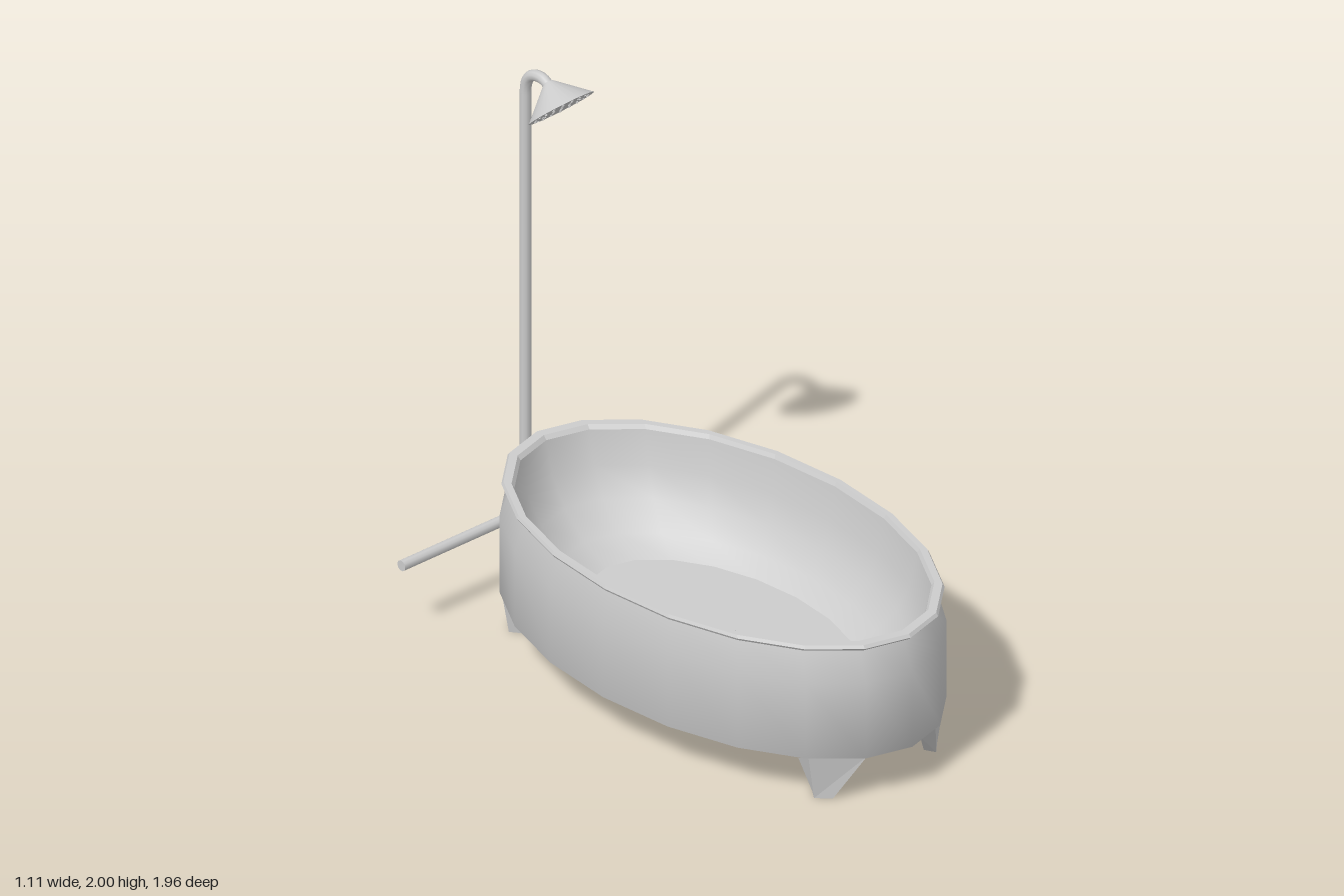
import * as THREE from 'three';

const CX = 0.005, CZ = 0.03;      // centre of the tub
const STRETCH = 0.95 / 0.545;     // length of the oval against its width

export function createModel() {
  const group = new THREE.Group();
  const mat = new THREE.MeshStandardMaterial({ color: 0xcccccc });
  const flat = new THREE.MeshStandardMaterial({ color: 0xcccccc, flatShading: true, side: THREE.DoubleSide });

  const add = (name, geometry, material = mat, parent = group) => {
    const mesh = new THREE.Mesh(geometry, material);
    mesh.name = name;
    parent.add(mesh);
    return mesh;
  };

  // Oval tub: 20-sided lathes stretched along z, profiles are [radius, y]
  const tub = new THREE.Group();
  tub.name = 'tub';
  tub.position.set(CX, 0, CZ);
  tub.scale.z = STRETCH;
  group.add(tub);
  const oval = (name, profile, material = mat) =>
    add(name, new THREE.LatheGeometry(profile.map(p => new THREE.Vector2(...p)), 20), material, tub);

  oval('underside', [[0, 0.10], [0.25, 0.103], [0.465, 0.115]]);
  oval('outerWall', [[0.465, 0.115], [0.545, 0.17], [0.545, 0.46], [0.518, 0.58]]);
  oval('rim', [[0.518, 0.58], [0.535, 0.58], [0.54, 0.589], [0.535, 0.6], [0.515, 0.6], [0.508, 0.585]], flat);
  oval('innerWall', [[0.508, 0.585], [0.49, 0.46], [0.455, 0.36], [0.40, 0.27], [0.335, 0.22]]);
  oval('floor', [[0.335, 0.22], [0, 0.22]]);

  // Drain in the floor
  add('drain', new THREE.CylinderGeometry(0.042, 0.042, 0.008, 24)).position.set(CX, 0.222, CZ);

  // Tapered feet: a wide top hugging the tub, a small pad on the ground
  const top = [[0.31, 0.17, 0.77], [0.155, 0.17, 0.895], [0.135, 0.11, 0.84], [0.265, 0.11, 0.67]];
  const pad = [[0.28, 0, 0.765], [0.235, 0, 0.81], [0.215, 0, 0.77], [0.255, 0, 0.73]];
  const footGeometry = (sx, sz) => {
    const g = new THREE.BufferGeometry();
    const pts = [...top, ...pad].map(([x, y, z]) => [x * sx, y, z * sz]);
    g.setAttribute('position', new THREE.Float32BufferAttribute(pts.flat(), 3));
    const index = [0, 1, 2, 0, 2, 3, 4, 6, 5, 4, 7, 6];
    for (let i = 0; i < 4; i++) {
      const j = (i + 1) % 4;
      index.push(i, i + 4, j, j, i + 4, j + 4);
    }
    // Mirrored once, the corners run the other way round
    if (sx * sz > 0) for (let i = 0; i < index.length; i += 3) {
      [index[i + 1], index[i + 2]] = [index[i + 2], index[i + 1]];
    }
    g.setIndex(index);
    const out = g.toNonIndexed();
    out.computeVertexNormals();
    return out;
  };
  for (const sx of [1, -1]) for (const sz of [1, -1]) {
    const name = (sz > 0 ? 'front' : 'back') + (sx > 0 ? 'Left' : 'Right') + 'Foot';
    add(name, footGeometry(sx, sz), flat).position.set(CX, 0, CZ);
  }

  // Shower pipe: supply run, elbow, riser and goose neck
  const v = (x, y, z) => new THREE.Vector3(x, y, z);
  const PZ = -0.96, R = 0.02;
  const path = new THREE.CurvePath();
  path.add(new THREE.LineCurve3(v(-0.56, 0.27, PZ), v(-0.08, 0.27, PZ)));
  path.add(new THREE.QuadraticBezierCurve3(v(-0.08, 0.27, PZ), v(CX, 0.27, PZ), v(CX, 0.355, PZ)));
  path.add(new THREE.LineCurve3(v(CX, 0.355, PZ), v(CX, 1.89, PZ)));
  path.add(new THREE.QuadraticBezierCurve3(v(CX, 1.89, PZ), v(CX, 1.975, PZ), v(CX, 1.98, -0.89)));
  path.add(new THREE.QuadraticBezierCurve3(v(CX, 1.98, -0.89), v(CX, 1.982, -0.86), v(CX, 1.96, -0.84)));
  add('showerPipe', new THREE.TubeGeometry(path, 160, R, 10));
  const cap = add('pipeEnd', new THREE.CircleGeometry(R, 10));
  cap.position.set(-0.56, 0.27, PZ);
  cap.rotation.y = -Math.PI / 2;

  // Shower head: a cone tilted down and forward, its local -y is the spray side
  const head = new THREE.Group();
  head.name = 'showerHead';
  head.position.set(CX, 1.903, -0.78);
  head.quaternion.setFromUnitVectors(v(0, -1, 0), v(0, -0.738, 0.676).normalize());
  group.add(head);
  add('headCone', new THREE.CylinderGeometry(0.016, 0.124, 0.1, 24), mat, head).position.y = 0.05;

  // Rings of small nozzles on the spray face
  [[0, 1], [0.035, 6], [0.07, 12], [0.1, 18]].forEach(([r, n]) => {
    for (let i = 0; i < n; i++) {
      const a = (i / n) * Math.PI * 2;
      add('nozzle', new THREE.CylinderGeometry(0.005, 0.005, 0.004, 6), mat, head)
        .position.set(r * Math.cos(a), -0.001, r * Math.sin(a));
    }
  });

  return group;
}
